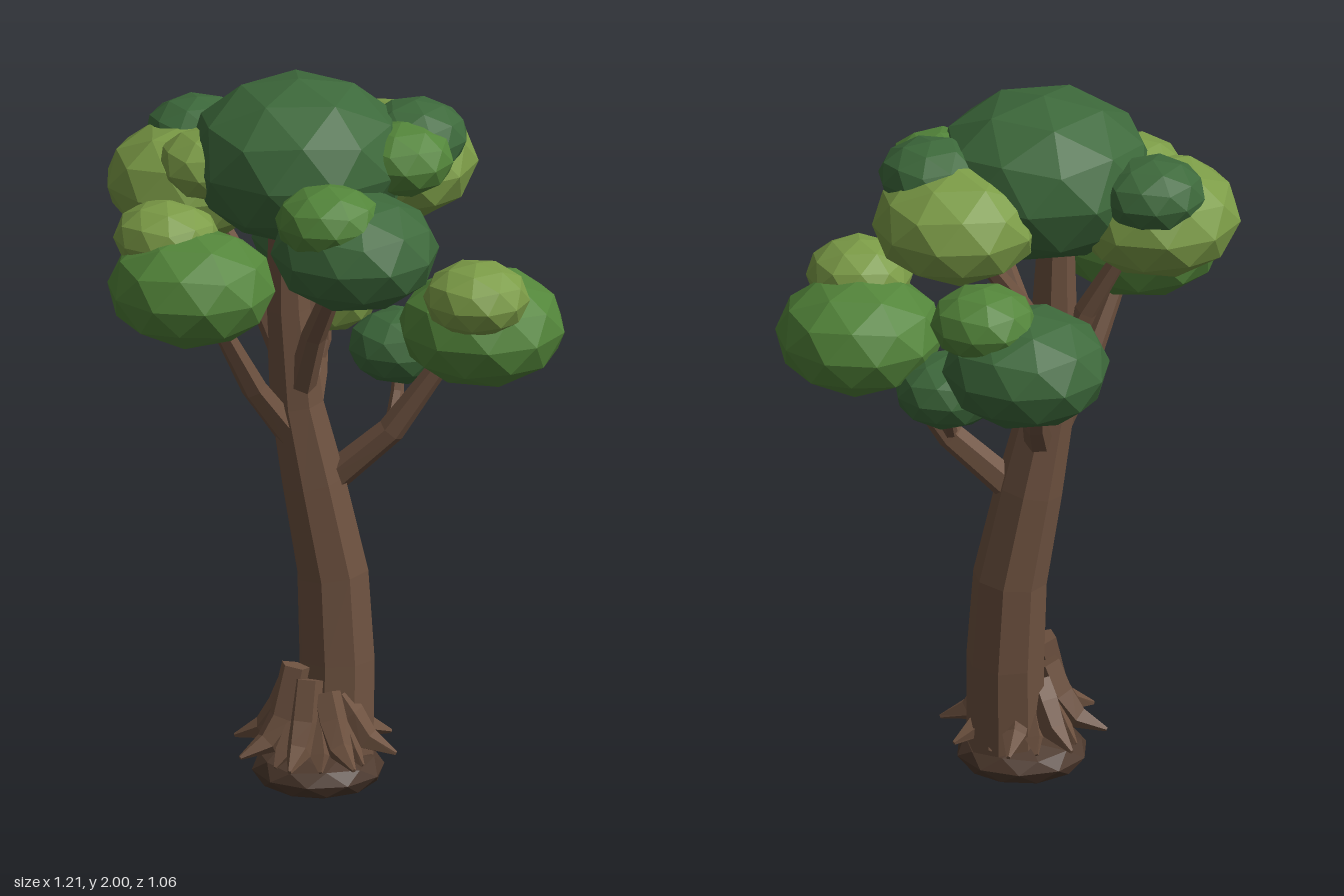
import * as THREE from 'three';

const material = (color) => new THREE.MeshStandardMaterial({ color, flatShading: true });
const bark = material(0x6e5240);
const soil = material(0x4d392d);
const darkLeaf = material(0x3d693b);
const midLeaf = material(0x53853a);
const lightLeaf = material(0x7c9c47);

// Tapered limb: each row of a cylinder is moved onto [x, y, z, radius]
function limb(name, stations, sides) {
  const n = stations.length - 1;
  const geometry = new THREE.CylinderGeometry(1, 1, 1, sides, n);
  const points = stations.map(([x, y, z]) => new THREE.Vector3(x, y, z));
  const up = new THREE.Vector3(0, 1, 0);
  const turns = points.map((p, i) => {
    const tangent = points[Math.min(i + 1, n)].clone().sub(points[Math.max(i - 1, 0)]).normalize();
    return new THREE.Quaternion().setFromUnitVectors(up, tangent);
  });
  const pos = geometry.attributes.position;
  const v = new THREE.Vector3();
  for (let i = 0; i < pos.count; i++) {
    v.fromBufferAttribute(pos, i);
    const row = Math.round((v.y + 0.5) * n);
    v.setY(0).multiplyScalar(stations[row][3]).applyQuaternion(turns[row]).add(points[row]);
    pos.setXYZ(i, v.x, v.y, v.z);
  }
  geometry.computeVertexNormals();
  const mesh = new THREE.Mesh(geometry, bark);
  mesh.name = name;
  return mesh;
}

// Flattened faceted ball with a vertex at its top
function blob(name, mat, x, y, z, r, ry, turn) {
  const geometry = new THREE.IcosahedronGeometry(1, 1);
  geometry.rotateX(-Math.atan((1 + Math.sqrt(5)) / 2));
  geometry.rotateY(turn);
  geometry.scale(r, ry, r);
  geometry.computeVertexNormals();
  const mesh = new THREE.Mesh(geometry, mat);
  mesh.name = name;
  mesh.position.set(x, y, z);
  return mesh;
}

export function createModel() {
  const tree = new THREE.Group();
  tree.name = 'tree';

  // Ground mound and leaning trunk
  tree.add(blob('rootMound', soil, -0.017, 0.068, 0.08, 0.178, 0.068, 0.3));
  tree.add(limb('trunk', [
    [0.035, 0.08, 0.08, 0.105], [0.05, 0.36, 0.06, 0.105], [0.045, 0.6, 0.045, 0.1],
    [0.0, 0.86, 0.02, 0.09], [-0.04, 1.08, 0.0, 0.075], [-0.06, 1.35, -0.01, 0.062],
    [-0.065, 1.68, -0.015, 0.045],
  ], 8));

  // Roots: upright at the trunk, then flaring to pointed tips
  const roots = new THREE.Group();
  roots.name = 'roots';
  const rootCount = 8;
  for (let i = 0; i < rootCount; i++) {
    const a = (i / rootCount) * Math.PI * 2;
    const top = [0.24, 0.28, 0.3, 0.34, 0.37, 0.32, 0.28, 0.25][i];
    const at = (r, y, w) => [-0.03 + Math.cos(a) * r, y, 0.09 + Math.sin(a) * r, w];
    roots.add(limb('root', [at(0.225, 0.135, 0.006), at(0.145, 0.165, 0.034),
      at(0.095, 0.23, 0.042), at(0.06, top, 0.04)], 5));
    // Small spur between neighbouring roots
    const b = a + Math.PI / rootCount;
    const spur = (r, y, w) => [-0.03 + Math.cos(b) * r, y, 0.09 + Math.sin(b) * r, w];
    roots.add(limb('rootSpur', [spur(0.165, 0.115, 0.006), spur(0.125, 0.15, 0.03),
      spur(0.08, 0.26, 0.01)], 4));
  }
  tree.add(roots);

  // Branches reaching into the leaf clusters
  const branches = new THREE.Group();
  branches.name = 'branches';
  [
    [[0.03, 0.85, 0.035, 0.045], [0.17, 1.01, 0.14, 0.038], [0.3, 1.23, 0.22, 0.025]],
    [[-0.05, 0.98, 0.01, 0.042], [-0.18, 1.15, 0.025, 0.035], [-0.32, 1.4, 0.05, 0.022]],
    [[-0.02, 0.98, 0.0, 0.04], [0.07, 1.11, -0.11, 0.034], [0.16, 1.32, -0.24, 0.022]],
    [[-0.045, 1.08, 0.01, 0.042], [-0.04, 1.3, 0.1, 0.034], [-0.03, 1.53, 0.24, 0.024]],
    [[-0.055, 1.18, -0.01, 0.04], [-0.12, 1.38, -0.07, 0.032], [-0.2, 1.58, -0.15, 0.022]],
    [[-0.05, 1.24, -0.01, 0.038], [0.05, 1.42, -0.01, 0.03], [0.18, 1.6, -0.01, 0.022]],
    [[0.17, 1.01, 0.14, 0.02], [0.22, 1.09, 0.08, 0.018], [0.24, 1.17, 0.05, 0.014]],
    [[0.07, 1.11, -0.11, 0.018], [0.11, 1.19, -0.125, 0.016], [0.12, 1.28, -0.135, 0.012]],
  ].forEach((stations) => branches.add(limb('branch', stations, 6)));
  tree.add(branches);

  // Foliage: crown, large clusters, then the small tufts sitting on them
  const foliage = new THREE.Group();
  foliage.name = 'foliage';
  foliage.add(blob('crown', darkLeaf, -0.04, 1.775, 0.01, 0.3, 0.225, 0.2));
  [
    [midLeaf, -0.385, 1.485, 0.06],
    [darkLeaf, -0.025, 1.61, 0.31],
    [midLeaf, 0.375, 1.315, 0.27],
    [darkLeaf, 0.235, 1.4, -0.305],
    [lightLeaf, -0.255, 1.68, -0.21],
    [lightLeaf, 0.255, 1.715, -0.01],
  ].forEach(([m, x, y, z], i) => foliage.add(blob('leafCluster', m, x, y, z, 0.226, 0.157, i * 0.9)));
  [
    [darkLeaf, -0.195, 1.78, -0.275],
    [darkLeaf, 0.265, 1.815, 0.095],
    [midLeaf, 0.185, 1.79, 0.17],
    [midLeaf, -0.11, 1.71, 0.32],
    [lightLeaf, 0.31, 1.435, 0.365],
    [midLeaf, 0.33, 1.53, -0.245],
    [lightLeaf, -0.41, 1.6, -0.035],
    [lightLeaf, -0.255, 1.76, -0.09],
    [lightLeaf, 0.12, 1.315, -0.14],
    [darkLeaf, 0.25, 1.205, 0.04],
  ].forEach(([m, x, y, z], i) => foliage.add(blob('leafTuft', m, x, y, z, 0.143, 0.1, 0.4 + i * 0.7)));
  tree.add(foliage);

  return tree;
}
